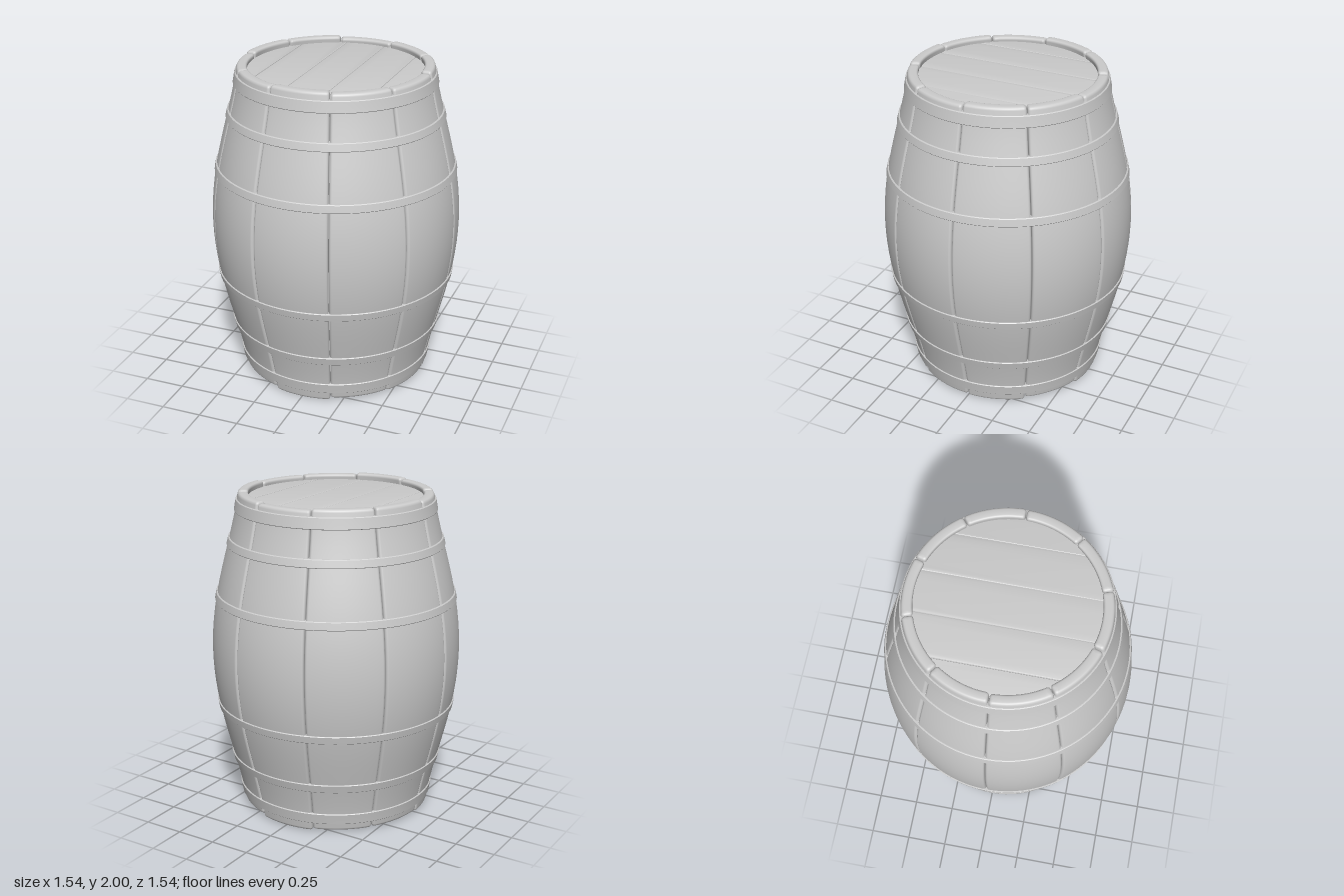
import * as THREE from 'three';
import { toCreasedNormals } from 'three/addons/utils/BufferGeometryUtils.js';

const STAVES = 10, THICK = 0.065, MID = 1.01;
const mat = new THREE.MeshStandardMaterial({ color: 0xcccccc, roughness: 0.8 });

// Outer radius of the barrel at height y
function radiusAt(y) {
  const t2 = (y - MID) ** 2;
  return 0.77 - 0.3 * t2 + 0.12 * t2 * t2;
}

// Rounded cross-section of a stave, as [sideways, outward] pairs from its middle
function section(halfW, halfT, corner) {
  const pts = [];
  const c = Math.max(0, Math.min(corner, halfT));
  const arc = (cx, cy, start) => {
    for (let k = 0; k <= 4; k++) {
      const a = start + (k / 4) * Math.PI / 2;
      pts.push([cx + c * Math.cos(a), cy + c * Math.sin(a)]);
    }
  };
  const along = (from, to, r) => {
    for (let k = 1; k < 12; k++) pts.push([from + (to - from) * k / 12, r]);
  };
  const w = halfW - c, h = halfT - c;
  arc(w, h, 0);
  along(w, -w, halfT);
  arc(-w, h, Math.PI / 2);
  arc(-w, -h, Math.PI);
  along(-w, w, -halfT);
  arc(w, -h, Math.PI * 1.5);
  return pts;
}

// One bowed plank with softly rounded ends
function staveGeometry(angle, y0, y1) {
  const rows = [];
  const ends = [[0, THICK / 2], [0, 0.016], [0.003, 0.008], [0.008, 0.003], [0.018, 0]];
  ends.forEach(([dy, inset]) => rows.push([y0 + dy, inset]));
  for (let k = 1; k < 30; k++) rows.push([y0 + 0.018 + (y1 - y0 - 0.036) * k / 30, 0]);
  [...ends].reverse().forEach(([dy, inset]) => rows.push([y1 - dy, inset]));

  const pos = [], index = [];
  let n = 0;
  for (const [y, inset] of rows) {
    const R = radiusAt(y), mid = R - THICK / 2;
    const halfW = R * Math.PI / STAVES - 0.002 - inset;
    const loop = section(halfW, THICK / 2 - inset, 0.017 - inset * 0.4);
    n = loop.length;
    for (const [u, v] of loop) {
      const a = angle + u / R, r = mid + v;
      pos.push(r * Math.sin(a), y, r * Math.cos(a));
    }
  }
  for (let j = 0; j < rows.length - 1; j++) {
    for (let i = 0; i < n; i++) {
      const a = j * n + i, b = j * n + (i + 1) % n;
      index.push(a, a + n, b, b, a + n, b + n);
    }
  }
  const g = new THREE.BufferGeometry();
  g.setAttribute('position', new THREE.Float32BufferAttribute(pos, 3));
  g.setIndex(index);
  g.computeVertexNormals();
  return g;
}

// Thin hoop that follows the bulge of the staves
function hoopGeometry(y0, y1) {
  const out = 0.008, deep = -0.03, b = 0.004;
  const p = (y, d) => new THREE.Vector2(radiusAt(y) + d, y);
  const profile = [
    p(y0, deep), p(y0, out - b), p(y0 + b, out), p((y0 + y1) / 2, out),
    p(y1 - b, out), p(y1, out - b), p(y1, deep), p(y0, deep),
  ];
  return toCreasedNormals(new THREE.LatheGeometry(profile, 80), 0.6);
}

// Board of a round lid between x0 and x1, cut by the lid's circle
function lidBoardGeometry(x0, x1, radius, height) {
  const bevel = 0.006, steps = 14;
  const a = x0 + bevel, b = x1 - bevel;
  const pts = [];
  for (const side of [-1, 1]) {
    for (let k = 0; k <= steps; k++) {
      const t = side < 0 ? k / steps : 1 - k / steps;
      const x = a + (b - a) * t;
      pts.push(new THREE.Vector2(x, side * Math.sqrt(Math.max(0.0004, radius * radius - x * x))));
    }
  }
  const g = new THREE.ExtrudeGeometry(new THREE.Shape(pts), {
    depth: height - 2 * bevel, bevelEnabled: true,
    bevelSize: bevel, bevelThickness: bevel, bevelSegments: 2,
  });
  g.translate(0, 0, bevel);
  g.rotateX(-Math.PI / 2);
  return toCreasedNormals(g, 0.5);
}

export function createModel() {
  const barrel = new THREE.Group();
  barrel.name = 'barrel';
  const add = (parent, name, geometry) => {
    const m = new THREE.Mesh(geometry, mat);
    m.name = name;
    parent.add(m);
    return m;
  };
  const group = (name) => {
    const g = new THREE.Group();
    g.name = name;
    barrel.add(g);
    return g;
  };

  // Staves, with slightly uneven ends
  const staves = group('staves');
  for (let i = 0; i < STAVES; i++) {
    const y0 = 0.009 - 0.009 * Math.cos(i * 2.4);
    const y1 = 1.994 + 0.006 * Math.cos(i * 1.9);
    add(staves, 'stave', staveGeometry(i * 2 * Math.PI / STAVES, y0, y1));
  }

  // Six hoops
  const hoops = group('hoops');
  const bands = [[0.06, 0.13], [0.29, 0.345], [0.64, 0.69], [1.335, 1.385], [1.675, 1.725], [1.885, 1.955]];
  for (const [y0, y1] of bands) add(hoops, 'hoop', hoopGeometry(y0, y1));

  // Top and bottom lids of five boards each
  const cuts = [-0.55, -0.38, -0.13, 0.122, 0.375, 0.55];
  for (const [name, y] of [['topLid', 1.91], ['bottomLid', 0.05]]) {
    const lid = group(name);
    for (let i = 0; i < cuts.length - 1; i++) {
      add(lid, 'lidBoard', lidBoardGeometry(cuts[i], cuts[i + 1], 0.55, 0.05));
    }
    lid.position.y = y;
  }
  return barrel;
}
